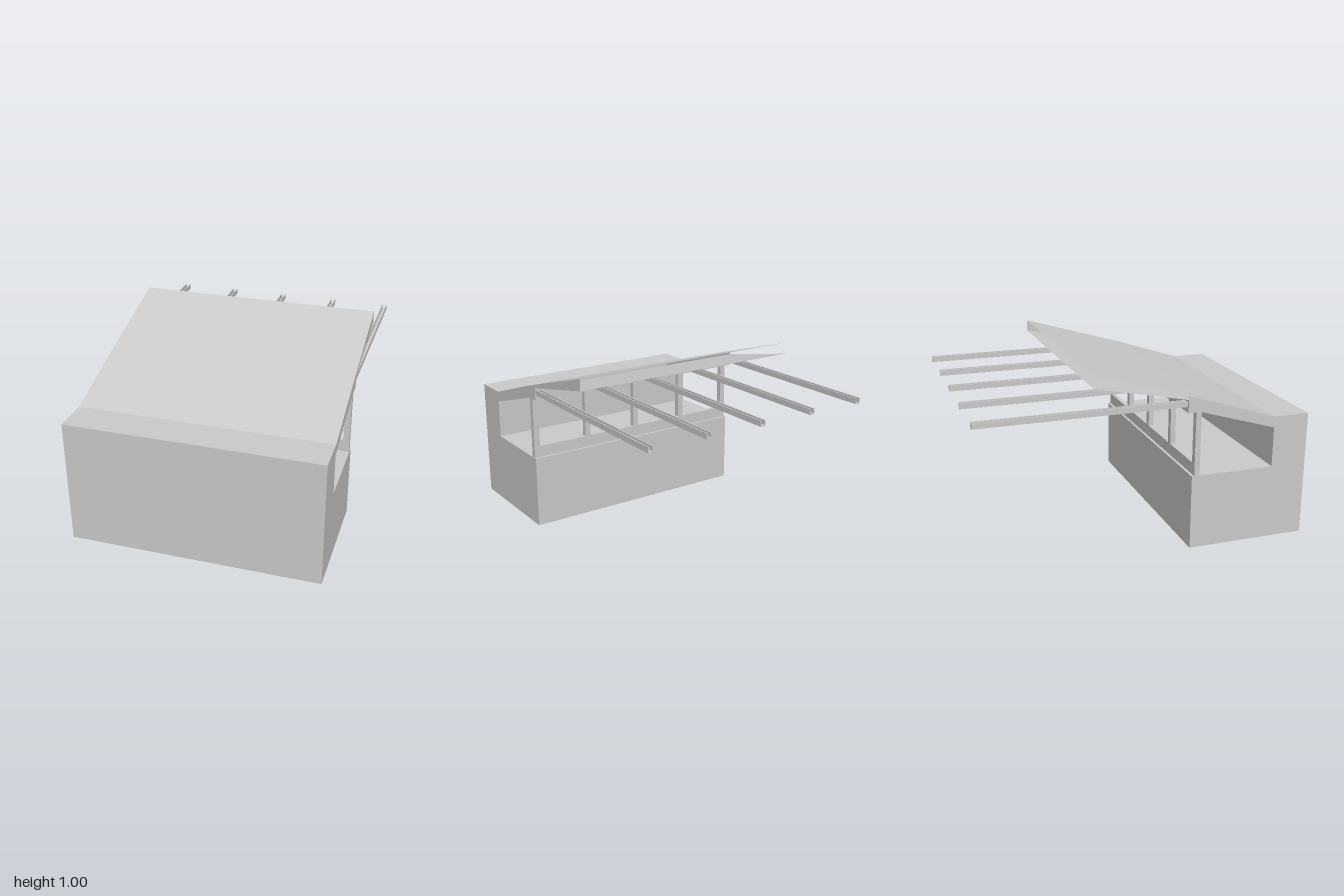
import * as THREE from 'three';

const W = 1.36; // length of the shelter
const mat = new THREE.MeshStandardMaterial({ color: 0xcccccc, side: THREE.DoubleSide, flatShading: true });

// Profiles are [depth from front, height]; local x runs along the length, z = -depth
const toShape = (pts) => new THREE.Shape(pts.map(([d, y]) => new THREE.Vector2(d, y)));

function add(group, name, geometry) {
  const mesh = new THREE.Mesh(geometry, mat);
  mesh.name = name;
  group.add(mesh);
  return mesh;
}

// Open sheet swept along the whole length
function sheet(pts) {
  const pos = [];
  for (let i = 0; i < pts.length - 1; i++) {
    const [d0, y0] = pts[i], [d1, y1] = pts[i + 1];
    pos.push(0, y0, -d0, W, y0, -d0, W, y1, -d1, 0, y0, -d0, W, y1, -d1, 0, y1, -d1);
  }
  const g = new THREE.BufferGeometry();
  g.setAttribute('position', new THREE.Float32BufferAttribute(pos, 3));
  g.computeVertexNormals();
  return g;
}

// Box given by its ranges in length, height and depth
function box(u0, u1, y0, y1, d0, d1) {
  return new THREE.BoxGeometry(u1 - u0, y1 - y0, d1 - d0)
    .translate((u0 + u1) / 2, (y0 + y1) / 2, -(d0 + d1) / 2);
}

export function createModel() {
  const model = new THREE.Group();
  model.name = 'shelter';
  const body = new THREE.Group();
  body.name = 'body';
  body.rotation.y = 0.17;
  body.position.set(-0.53, 0, 0.998);
  model.add(body);

  // Front wall and roof
  const outer = [[0, 0], [0, 0.69], [0.2, 0.69], [0.61, 0.825], [1.198, 1]];
  add(body, 'frontWallAndRoof', sheet(outer));

  // Soffit, header, ceiling, inner wall, ledge and back wall
  const inner = [[1.198, 0.935], [0.695, 0.83], [0.695, 0.76], [0.625, 0.76],
    [0.2, 0.63], [0.2, 0.41], [0.665, 0.41], [0.665, 0]];
  add(body, 'soffitCeilingAndBackWall', sheet(inner));

  // Side walls; one of them also closes the roof overhang
  const closed = [...outer, ...inner];
  const open = [...outer.slice(0, 4), [0.695, 0.85], ...inner.slice(1)];
  for (const [name, pts, u] of [['leftWall', closed, W], ['rightWall', open, 0]]) {
    add(body, name, new THREE.ShapeGeometry(toShape(pts)).rotateY(Math.PI / 2).translate(u, 0, 0));
  }

  // Window rail on the ledge
  add(body, 'windowRail', box(0.01, W - 0.01, 0.41, 0.475, 0.625, 0.65));

  // Channel section, open at the top
  const w = 0.015, t = 0.006;
  const channel = new THREE.Shape([[-w, 0], [w, 0], [w, 0.03], [w - t, 0.03], [w - t, t],
    [t - w, t], [t - w, 0.03], [-w, 0.03]].map(([x, y]) => new THREE.Vector2(x, y)));

  // Window posts and projecting channel beams
  for (let i = 0; i < 5; i++) {
    const u = 0.02 + (i * (W - 0.04)) / 4;
    add(body, 'post', box(u - 0.017, u + 0.017, 0.41, 0.76, 0.62, 0.65));
    const beam = add(body, 'beam', new THREE.ExtrudeGeometry(channel, { depth: 1.1, bevelEnabled: false }));
    beam.position.set(0.025 + i * 0.329, 0.79, -1.795);
  }
  return model;
}
